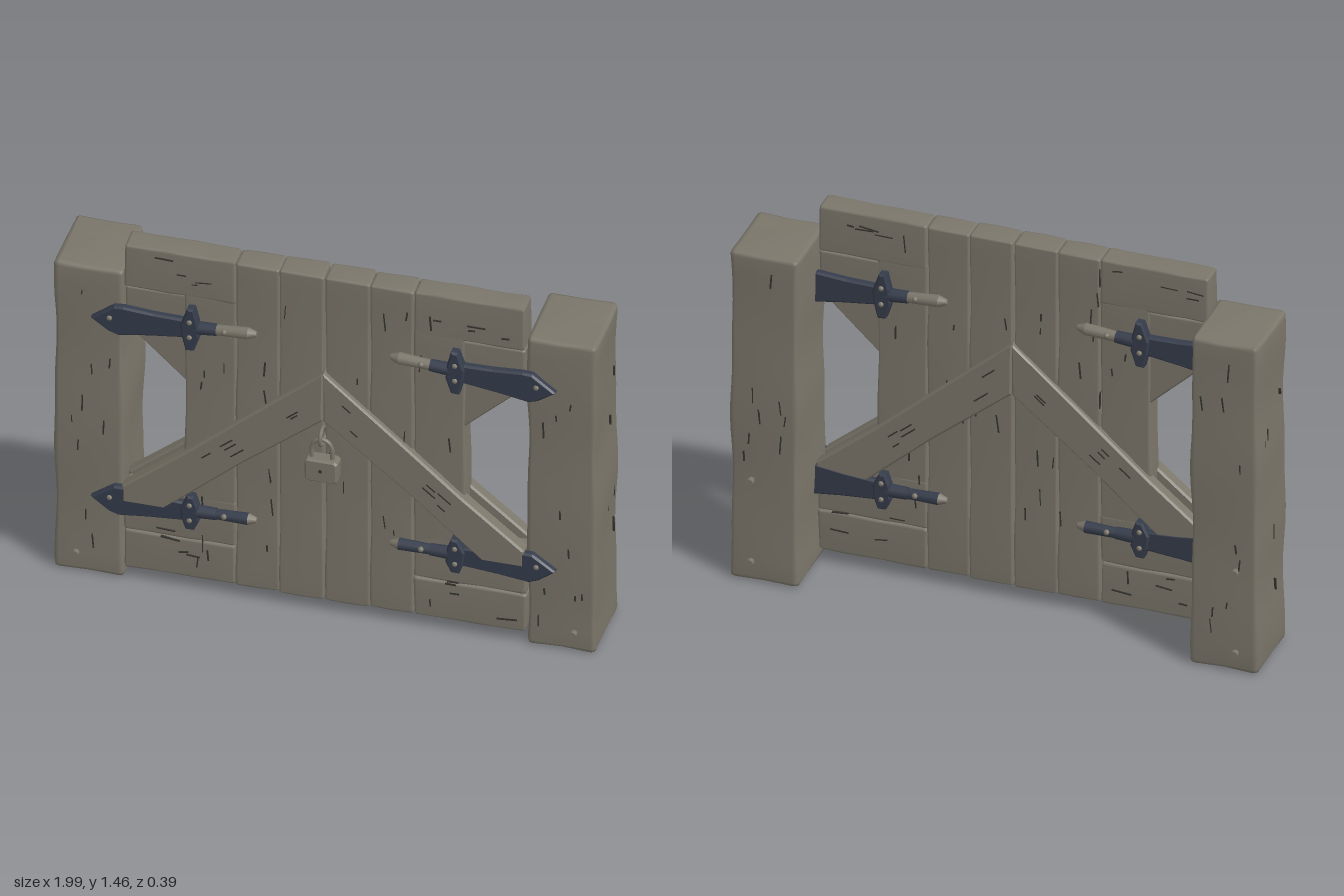
import * as THREE from 'three';
import { mergeVertices } from 'three/addons/utils/BufferGeometryUtils.js';

const mat = (name, color) => {
  const m = new THREE.MeshStandardMaterial({ color });
  m.name = name;
  return m;
};

export function createModel() {
  const wood = mat('weathered wood', 0x7b766a);
  const iron = mat('dark blue iron', 0x353c4b);
  const dark = mat('crack shadow', 0x35332e);
  const gate = new THREE.Group();
  gate.name = 'woodenGate';

  let seed = 11;
  const rnd = (a, b) => {
    seed = (seed * 16807) % 2147483647;
    return a + (b - a) * (seed / 2147483647);
  };

  const add = (name, geo, material, parent = gate) => {
    const m = new THREE.Mesh(geo, material);
    m.name = name;
    parent.add(m);
    return m;
  };

  // Hand-hewn timber: box with rounded edges and a gentle wobble
  function timber(name, x0, x1, y0, y1, z0, z1, r, amp) {
    const half = [(x1 - x0) / 2, (y1 - y0) / 2, (z1 - z0) / 2];
    const mid = [(x1 + x0) / 2, (y1 + y0) / 2, (z1 + z0) / 2];
    const seg = half.map(h => Math.max(4, Math.round(h * 2 / 0.06)));
    let g = new THREE.BoxGeometry(2, 2, 2, ...seg);
    g.deleteAttribute('uv');
    g.deleteAttribute('normal');
    g = mergeVertices(g, 1e-4);
    const p = g.attributes.position;
    const phase = x0 * 37 + y0 * 13;
    for (let i = 0; i < p.count; i++) {
      const c = [p.getX(i), p.getY(i), p.getZ(i)];
      const inner = c.map((v, k) => {
        const n = seg[k], j = Math.round((v + 1) / 2 * n);
        const t = Math.min(Math.max((j - 1) / (n - 2), 0), 1);
        return (t * 2 - 1) * (half[k] - r);
      });
      const out = c.map(v => (Math.abs(v) > 0.9999 ? Math.sign(v) : 0));
      const len = Math.hypot(...out) || 1;
      const q = inner.map((v, k) => v + out[k] / len * r);
      const [x, y, z] = q;
      const w = amp * (Math.sin(y * 9 + phase + z * 7) + 0.6 * Math.sin(x * 31 + y * 17 + phase * 2));
      const v = amp * 0.7 * Math.sin(x * 24 + z * 19 + phase);
      p.setXYZ(i, mid[0] + x + out[0] * w, mid[1] + y + out[1] * v, mid[2] + z + out[2] * w * 0.7);
    }
    g.computeVertexNormals();
    return add(name, g, wood);
  }

  // Flat outline extruded between two depths with a small bevel
  function slab(name, pts, z0, z1, bevel, material, parent) {
    const shape = new THREE.Shape(pts.map(([x, y]) => new THREE.Vector2(x, y)));
    const g = new THREE.ExtrudeGeometry(shape, {
      depth: z1 - z0 - 2 * bevel, bevelEnabled: true, bevelSize: bevel,
      bevelOffset: -bevel, bevelThickness: bevel, bevelSegments: 1,
    });
    g.translate(0, 0, z0 + bevel);
    return add(name, g, material, parent);
  }

  const span = (s, a, b) => (s > 0 ? [a, b] : [-b, -a]);

  // Dagger-shaped strap hinge lying along x
  function hinge(s, y, tilt, guardH, z0, face) {
    const h = new THREE.Group();
    h.name = 'daggerHinge';
    gate.add(h);
    const at = ([x, dy]) => [s * x, y + dy + tilt * (0.85 - x)];
    const za = t => z0 + face * t;
    const range = (a, b) => [Math.min(za(a), za(b)), Math.max(za(a), za(b))];
    slab('blade', [[0.85, 0], [0.765, 0.06], [0.73, 0.06], [0.62, 0.045], [0.5, 0.035],
      [0.5, -0.042], [0.64, -0.052], [0.75, -0.064], [0.785, -0.05]].map(at),
    ...range(-0.01, 0.022), 0.007, iron, h);
    slab('crossguard', [[0.5, -guardH], [0.515, -0.03], [0.52, 0.02], [0.495, guardH], [0.47, guardH],
      [0.455, 0.03], [0.45, -0.03], [0.47, -guardH]].map(at), ...range(-0.01, 0.032), 0.007, iron, h);
    const rod = (name, a, b, ra, rb, material) => {
      const A = new THREE.Vector3(...at([a, 0]), za(0.008)), B = new THREE.Vector3(...at([b, 0]), za(0.008));
      const m = add(name, new THREE.CylinderGeometry(rb, ra, A.distanceTo(B), 10), material, h);
      m.position.copy(A).lerp(B, 0.5);
      m.quaternion.setFromUnitVectors(new THREE.Vector3(0, 1, 0), B.sub(A).normalize());
    };
    rod('gripCollar', 0.47, 0.39, 0.026, 0.023, iron);
    rod('grip', 0.39, 0.275, 0.02, 0.023, tilt > 0.04 ? wood : iron);
    rod('pommel', 0.275, 0.245, 0.022, 0.01, wood);
    // Worn rivets
    for (const [x, dy] of [[0.78, 0.01], [0.485, 0.035], [0.485, -0.03], [0.36, 0.005]]) {
      const m = add('rivet', new THREE.SphereGeometry(0.011, 8, 6), wood, h);
      m.position.set(...at([x, dy]), za(x < 0.4 ? 0.026 : x < 0.6 ? 0.03 : 0.02));
    }
  }

  for (const s of [1, -1]) {
    // Thick gate post, with pegs
    timber('post', ...span(s, 0.738, 0.99), 0.002, 1.335, -0.17, 0.125, 0.018, 0.004);
    for (const [y, z] of [[0.08, -0.178], [0.41, -0.178], [0.08, 0.126]]) {
      const peg = add('peg', new THREE.CylinderGeometry(0.013, 0.015, 0.03, 8), wood);
      peg.rotation.x = Math.PI / 2;
      peg.position.set(s * 0.91, y, z);
    }

    // Door boards
    timber('centrePlank', ...span(s, 0.003, 0.165), 0.05, 1.457, 0.03, 0.13, 0.009, 0.002);
    timber('innerPlank', ...span(s, 0.166, 0.324), 0.052, 1.455, 0.032, 0.128, 0.01, 0.0025);
    timber('outerPlank', ...span(s, 0.325, 0.512), 0.3, 1.3, 0.034, 0.126, 0.01, 0.002);
    timber('topBoard', ...span(s, 0.326, 0.732), 1.275, 1.457, 0.032, 0.128, 0.011, 0.0025);
    timber('upperBoard', ...span(s, 0.49, 0.73), 1.09, 1.276, 0.036, 0.122, 0.01, 0.002);
    timber('lowerBoard', ...span(s, 0.326, 0.735), 0.215, 0.41, 0.034, 0.126, 0.011, 0.0025);
    timber('bottomBoard', ...span(s, 0.326, 0.735), 0.05, 0.216, 0.032, 0.128, 0.011, 0.0025);

    // Corner gusset and diagonal braces on both faces
    slab('gusset', [[0.49, 0.885], [0.512, 0.9], [0.735, 1.11], [0.735, 1.18], [0.49, 1.18]]
      .map(([x, y]) => [s * x, y]), 0.042, 0.116, 0.006, wood);
    const brace = [[0.001, 1.05], [0.001, 0.845], [0.3, 0.6], [0.58, 0.35], [0.735, 0.35], [0.735, 0.42], [0.51, 0.605], [0.25, 0.835]]
      .map(([x, y]) => [s * x, y]);
    slab('frontBrace', brace, 0.1, 0.153, 0.007, wood);
    slab('backBrace', brace, 0.01, 0.06, 0.007, wood);

    // Hinges on both faces
    for (const [z, face] of [[0.13, 1], [0.03, -1]]) {
      hinge(s, 1.13, 0.065, 0.09, z, face);
      hinge(s, 0.35, 0.012, 0.072, z, face);
    }
  }

  // Padlock with shackle and staple
  const lock = new THREE.Group();
  lock.name = 'padlock';
  gate.add(lock);
  slab('lockBody', [[-0.058, 0.61], [-0.045, 0.6], [0.05, 0.6], [0.06, 0.61], [0.062, 0.685],
    [0.05, 0.695], [-0.05, 0.695], [-0.06, 0.685]], 0.128, 0.185, 0.007, wood, lock);
  const bow = new THREE.CatmullRomCurve3([[-0.037, 0.69], [-0.037, 0.735], [-0.024, 0.763], [0, 0.773],
    [0.024, 0.763], [0.037, 0.735], [0.037, 0.69]].map(([x, y]) => new THREE.Vector3(x, y, 0.16)));
  add('shackle', new THREE.TubeGeometry(bow, 24, 0.008, 8), wood, lock);
  const staple = add('staple', new THREE.TorusGeometry(0.034, 0.007, 8, 20), wood, lock);
  staple.rotation.y = Math.PI / 2;
  staple.position.set(0, 0.785, 0.155);
  const hole = add('keyhole', new THREE.CylinderGeometry(0.007, 0.007, 0.004, 8), dark, lock);
  hole.rotation.x = Math.PI / 2;
  hole.position.set(0, 0.65, 0.185);

  // Splits in the timber: thin dark slivers along the grain
  function crack(x, y, z, along, side) {
    const l = rnd(0.02, 0.075), w = rnd(0.003, 0.006);
    const g = along === 'y' ? new THREE.BoxGeometry(w, l, 0.009) : new THREE.BoxGeometry(l, w, 0.009);
    const m = add('split', g, dark);
    m.position.set(x, y, z);
    m.rotation.set(0, side ? Math.PI / 2 : 0, rnd(-0.15, 0.15));
  }
  for (const s of [1, -1]) {
    for (const z of [0.127, 0.033]) {
      for (let i = 0; i < 16; i++) crack(s * rnd(0.02, 0.48), rnd(0.1, 1.4), z, 'y');
      for (let i = 0; i < 4; i++) {
        crack(s * rnd(0.38, 0.69), rnd(1.3, 1.43), z, 'x');
        crack(s * rnd(0.38, 0.69), rnd(0.08, 0.25), z, 'x');
      }
    }
    for (let i = 0; i < 9; i++) {
      crack(s * rnd(0.78, 0.95), rnd(0.1, 1.25), 0.124, 'y');
      crack(s * rnd(0.78, 0.95), rnd(0.1, 1.25), -0.169, 'y');
    }
    for (let i = 0; i < 5; i++) crack(s * 0.989, rnd(0.1, 1.25), rnd(-0.13, 0.09), 'y', true);
    // Splits along the braces
    for (let i = 0; i < 6; i++) {
      const x = rnd(0.08, 0.55), y = 0.95 - x * 0.85 + rnd(-0.04, 0.04);
      for (const z of [0.15, 0.013]) {
        const m = add('braceSplit', new THREE.BoxGeometry(rnd(0.03, 0.07), 0.005, 0.009), dark);
        m.position.set(s * x, y, z);
        m.rotation.z = -s * 0.7;
      }
    }
  }
  return gate;
}
